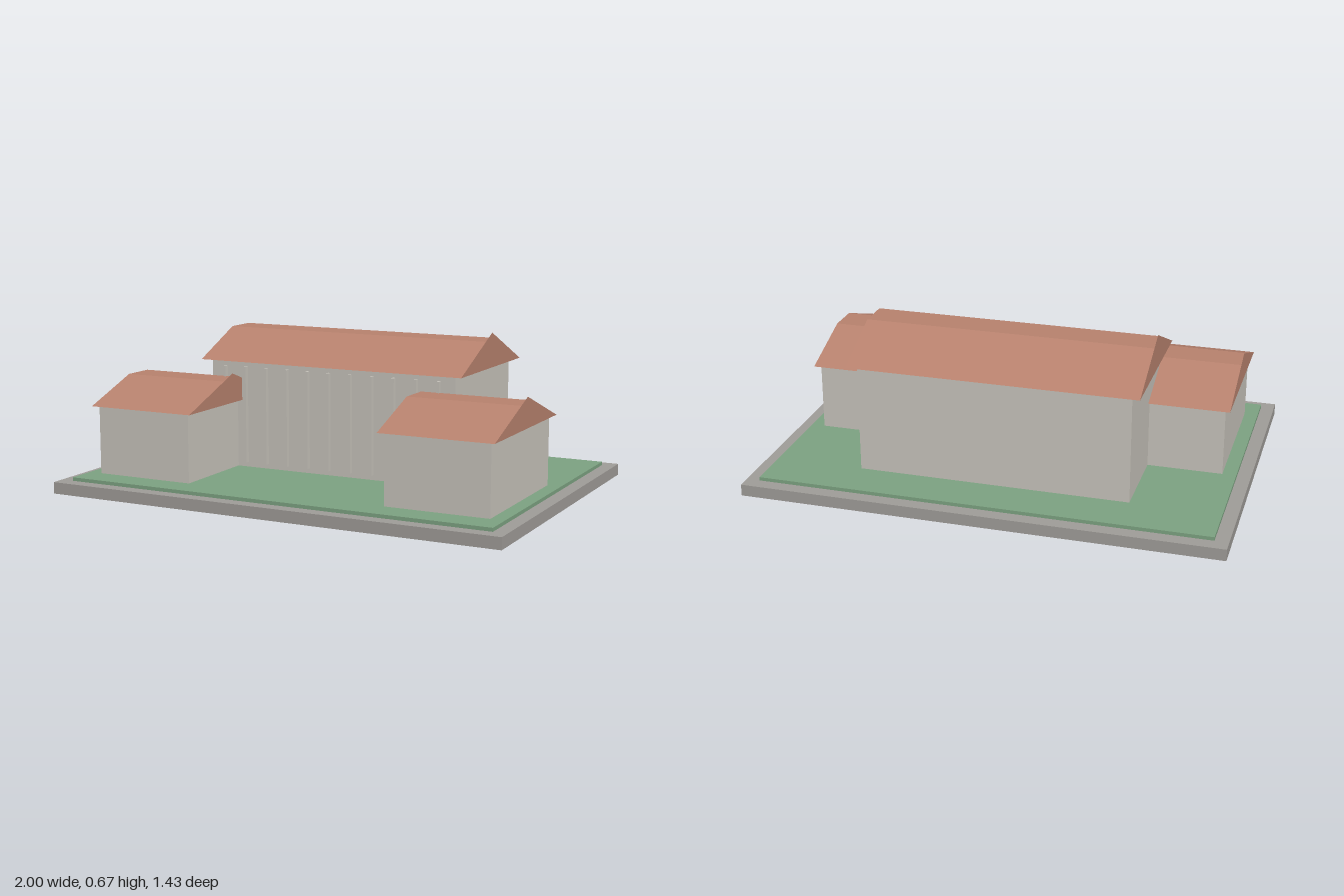
import * as THREE from 'three';

const material = (name, color) => new THREE.MeshStandardMaterial({ name, color });

export function createModel() {
  const stone = material('plinth grey', 0xa09d99);
  const grass = material('lawn green', 0x7da382);
  const plaster = material('wall cream', 0xc8c4bc);
  const tile = material('roof terracotta', 0xb8826e);

  const model = new THREE.Group();
  model.name = 'courtyardHall';

  // Box given by its minimum and maximum corners
  function box(name, mat, [x0, y0, z0], [x1, y1, z1], parent = model) {
    const mesh = new THREE.Mesh(new THREE.BoxGeometry(x1 - x0, y1 - y0, z1 - z0), mat);
    mesh.position.set((x0 + x1) / 2, (y0 + y1) / 2, (z0 + z1) / 2);
    mesh.name = name;
    parent.add(mesh);
    return mesh;
  }

  const polygon = (points) => new THREE.Shape(points.map(([x, y]) => new THREE.Vector2(x, y)));

  // Gable roof along x with a flattened ridge; the thin end gables rise to a point
  function gableRoof(name, length, halfDepth, rise, x, y, z) {
    const roof = new THREE.Group();
    roof.name = name;
    roof.position.set(x, y, z);
    const flat = 0.07;
    const cut = rise * (1 - flat / halfDepth);

    const body = new THREE.ExtrudeGeometry(
      polygon([[-halfDepth, 0], [halfDepth, 0], [flat, cut], [-flat, cut]]),
      { depth: length, bevelEnabled: false });
    body.translate(0, 0, -length / 2).rotateY(Math.PI / 2);
    const slopes = new THREE.Mesh(body, tile);
    slopes.name = 'roofSlopes';
    roof.add(slopes);

    for (const side of [-1, 1]) {
      const tip = new THREE.Mesh(
        new THREE.ShapeGeometry(polygon([[-flat, cut], [flat, cut], [0, rise]])), tile);
      tip.name = side > 0 ? 'leftGableTip' : 'rightGableTip';
      tip.rotation.y = side * Math.PI / 2;
      tip.position.x = side * length / 2;
      roof.add(tip);
    }
    model.add(roof);
  }

  // Ground
  box('plinth', stone, [-1, 0, -0.713], [1, 0.049, 0.713]);
  box('lawn', grass, [-0.943, 0.049, -0.656], [0.943, 0.064, 0.656]);

  // Main hall
  box('hallWalls', plaster, [-0.57, 0.064, -0.463], [0.57, 0.526, 0.134]);
  gableRoof('hallRoof', 1.214, 0.332, 0.147, 0, 0.525, -0.167);

  // Slim pilasters across the front of the hall
  const pilasters = new THREE.Group();
  pilasters.name = 'pilasters';
  model.add(pilasters);
  for (let i = -5; i <= 5; i++) {
    box('pilaster', plaster, [i * 0.1 - 0.006, 0.085, 0.13], [i * 0.1 + 0.006, 0.502, 0.153], pilasters);
  }

  // Two side wings
  for (const side of [-1, 1]) {
    const label = side > 0 ? 'left' : 'right';
    const cx = side * 0.665;
    box(label + 'WingWalls', plaster, [cx - 0.22, 0.064, -0.105], [cx + 0.22, 0.356, 0.535]);
    gableRoof(label + 'WingRoof', 0.483, 0.346, 0.126, cx, 0.355, 0.213);
  }

  return model;
}
